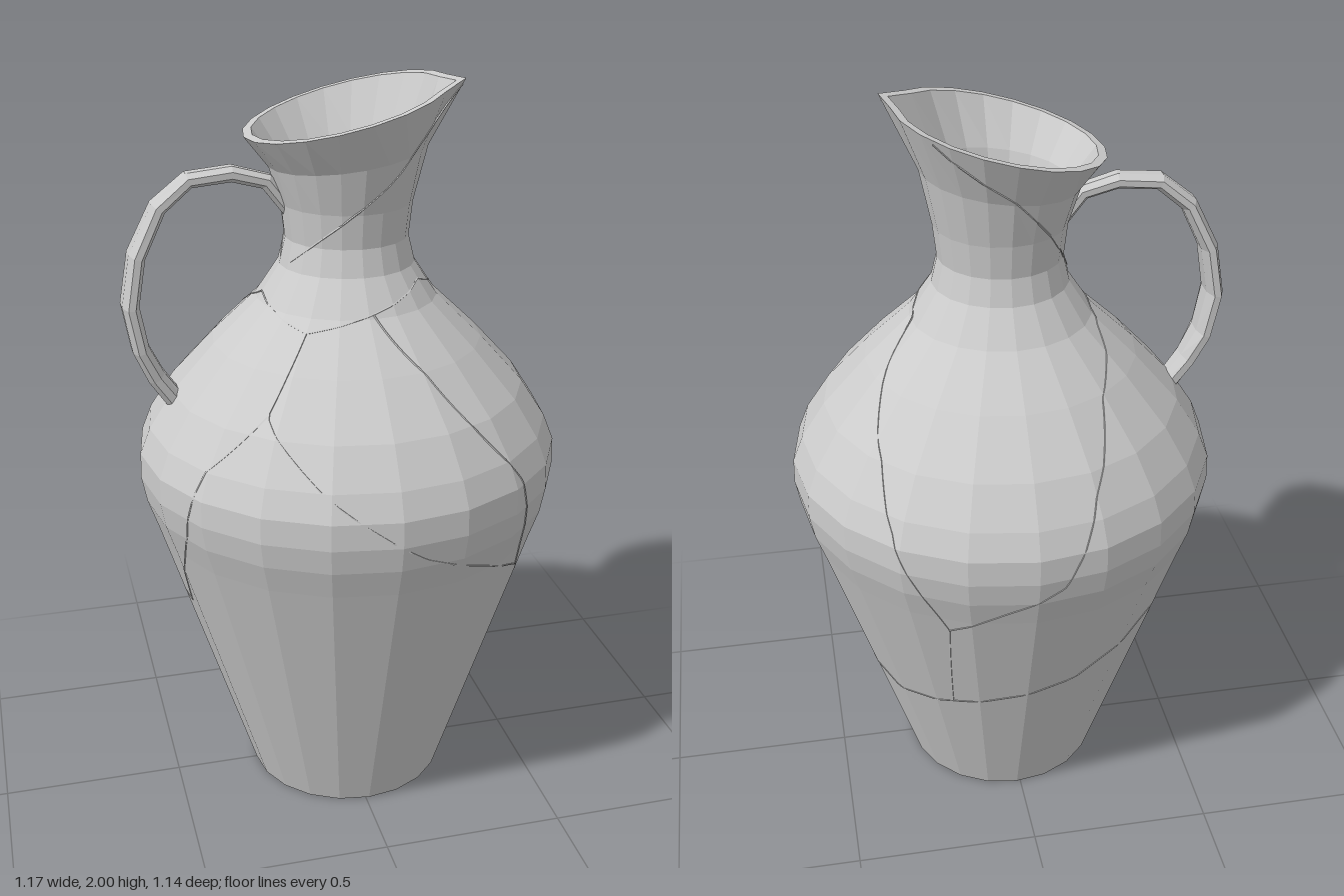
import * as THREE from 'three';

const SIDES = 20, CX = 0.01, STEP = (Math.PI * 2) / SIDES;

// Outer wall as [radius, height], from the foot to the rim
const OUTER = [
  [0.275, 0], [0.53, 0.81], [0.557, 0.89], [0.57, 0.96], [0.568, 1.03], [0.54, 1.1],
  [0.475, 1.2], [0.36, 1.325], [0.24, 1.44], [0.18, 1.53], [0.163, 1.6], [0.173, 1.69],
  [0.203, 1.81], [0.265, 1.93],
];

// Tilts the mouth upwards towards +x and pulls one column of the rim into a spout
function shapeMouth(p) {
  const t = THREE.MathUtils.clamp((p.y - 1.69) / 0.24, 0, 1);
  const off = Math.abs(Math.atan2(p.z, p.x) - STEP) / STEP;
  const pull = 1 + 0.13 * t * t * Math.max(0, 1 - off);
  p.x *= pull;
  p.z *= pull;
  p.y += 0.25 * p.x * t;
  return p;
}

// Point on the faceted outer wall at an angle (degrees) and height
function onWall(deg, y) {
  let i = 1;
  while (i < OUTER.length - 1 && OUTER[i][1] < y) i++;
  const [r0, y0] = OUTER[i - 1], [r1, y1] = OUTER[i];
  const a = THREE.MathUtils.degToRad(deg);
  const inFacet = THREE.MathUtils.euclideanModulo(a, STEP) - STEP / 2;
  const r = (r0 + ((r1 - r0) * (y - y0)) / (y1 - y0)) * Math.cos(STEP / 2) / Math.cos(inFacet);
  return shapeMouth(new THREE.Vector3(r * Math.cos(a), y, r * Math.sin(a)));
}

// Hollow vessel: outer wall, rim, inner wall and floor in one turned profile
function bodyGeometry() {
  const inner = OUTER.slice().reverse().map(([r, y]) => [r - 0.022, Math.max(y, 0.025)]);
  const profile = [[0, 0], ...OUTER, ...inner, [0, 0.025]];
  const geo = new THREE.LatheGeometry(profile.map(([r, y]) => new THREE.Vector2(r, y)), SIDES);
  const pos = geo.attributes.position, p = new THREE.Vector3();
  for (let i = 0; i < pos.count; i++) {
    shapeMouth(p.fromBufferAttribute(pos, i));
    pos.setXYZ(i, p.x, p.y, p.z);
  }
  geo.computeVertexNormals();
  return geo;
}

// Handle: eight-sided sections swept along a bent path; each row is [x, y, half width, half thickness]
function handleGeometry() {
  const rows = [
    [-0.14, 1.67, 0.027, 0.02], [-0.2, 1.75, 0.03, 0.022], [-0.29, 1.775, 0.033, 0.022],
    [-0.4, 1.765, 0.037, 0.022], [-0.48, 1.7, 0.045, 0.023], [-0.54, 1.58, 0.058, 0.024],
    [-0.563, 1.45, 0.065, 0.024], [-0.542, 1.33, 0.06, 0.024], [-0.505, 1.25, 0.048, 0.026],
    [-0.43, 1.14, 0.036, 0.028],
  ];
  const N = 8, verts = [], index = [];
  rows.forEach(([x, y, w, h], i) => {
    const a = rows[Math.max(i - 1, 0)], b = rows[Math.min(i + 1, rows.length - 1)];
    const len = Math.hypot(b[0] - a[0], b[1] - a[1]);
    const nx = (b[1] - a[1]) / len, ny = -(b[0] - a[0]) / len;
    for (let j = 0; j < N; j++) {
      const t = ((j + 0.5) / N) * Math.PI * 2;
      verts.push(x + nx * h * Math.cos(t), y + ny * h * Math.cos(t), w * Math.sin(t));
      if (i === 0) continue;
      const k = (j + 1) % N, p = (i - 1) * N, q = i * N;
      index.push(p + j, p + k, q + j, p + k, q + k, q + j);
    }
  });
  const geo = new THREE.BufferGeometry();
  geo.setAttribute('position', new THREE.Float32BufferAttribute(verts, 3));
  geo.setIndex(index);
  geo.computeVertexNormals();
  return geo;
}

// Crack lines as [angle in degrees, height] along the wall
const CRACKS = [
  // large shard on the spout side
  [[87, 1.45], [37, 1.5], [-5, 1.45], [-41, 1.2], [-51, 1.06], [-65, 0.76], [-61, 0.42],
    [-31, 0.37], [0, 0.44], [38, 0.73], [46, 0.89], [51, 1.05], [71, 1.32], [87, 1.45]],
  // front shoulder
  [[180, 1.46], [126, 1.41], [87, 1.45]],
  [[126, 1.41], [131, 1.24], [83, 0.91], [38, 0.73]],
  [[131, 1.24], [145, 1.1], [152, 0.9], [172, 0.6], [217, 0.62]],
  // back
  [[-180, 1.46], [-157, 1.42], [-125, 1.32], [-108, 1.15], [-97, 0.93], [-65, 0.76]],
  [[-170, 0.2], [-143, 0.62], [-105, 0.5], [-61, 0.42]],
  // neck
  [[18, 1.92], [60, 1.78], [110, 1.66], [160, 1.55]],
  [[-43, 1.92], [-90, 1.82], [-140, 1.65], [-180, 1.55]],
];

function crackGeometry(line) {
  const points = [];
  for (let i = 1; i < line.length; i++) {
    const [a0, y0] = line[i - 1], [a1, y1] = line[i];
    for (let s = i === 1 ? 0 : 1; s <= 10; s++) {
      points.push(onWall(a0 + ((a1 - a0) * s) / 10, y0 + ((y1 - y0) * s) / 10));
    }
  }
  const path = new THREE.CurvePath();
  for (let i = 1; i < points.length; i++) path.add(new THREE.LineCurve3(points[i - 1], points[i]));
  return new THREE.TubeGeometry(path, points.length * 2, 0.0025, 4);
}

export function createModel() {
  const group = new THREE.Group();
  group.name = 'crackedPitcher';
  const material = new THREE.MeshStandardMaterial({
    color: 0xcccccc, flatShading: true, side: THREE.DoubleSide,
  });
  const add = (name, geometry, x = 0) => {
    const mesh = new THREE.Mesh(geometry, material);
    mesh.name = name;
    mesh.position.x = x;
    group.add(mesh);
  };
  add('body', bodyGeometry(), CX);
  add('handle', handleGeometry());
  CRACKS.forEach((line, i) => add(`crack${i + 1}`, crackGeometry(line), CX));
  return group;
}
